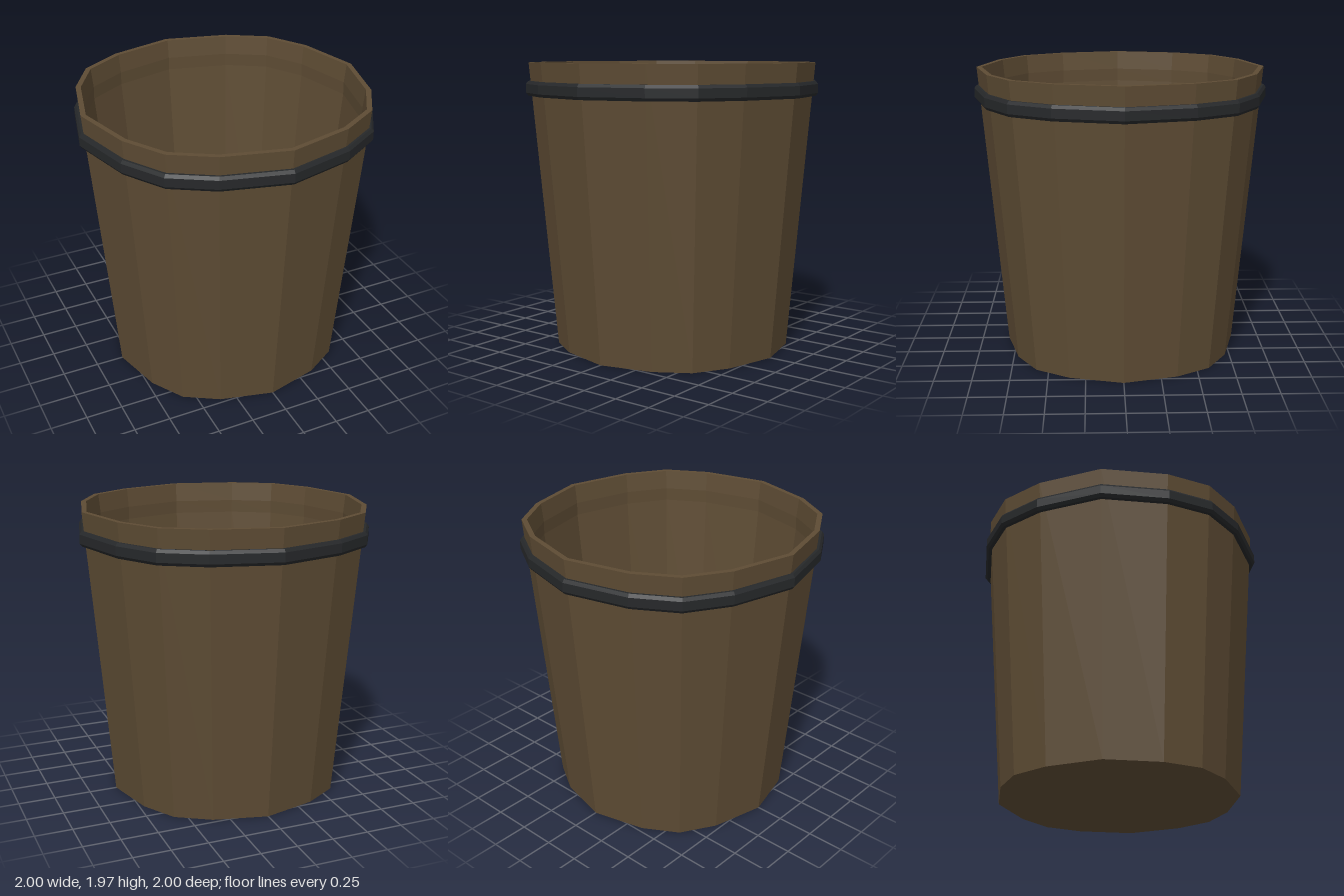
import * as THREE from 'three';

const SIDES = 16;
// Corner directions within one quadrant: the sides are of uneven width
const QUADRANT = [[0, 1], [0.443, 0.887], [0.72, 0.72], [0.887, 0.443]];

// Turn a [radius, height] profile around y, then shift its corners to the uneven outline
function turned(name, profile, color) {
  const points = profile.map(([r, y]) => new THREE.Vector2(r, y));
  const lathe = new THREE.LatheGeometry(points, SIDES);
  const pos = lathe.attributes.position;
  for (let i = 0; i < pos.count; i++) {
    const corner = Math.floor(i / points.length) % SIDES;
    const r = points[i % points.length].x;
    let [x, z] = QUADRANT[corner % 4];
    for (let q = 0; q < Math.floor(corner / 4); q++) [x, z] = [z, -x];
    pos.setXYZ(i, x * r, pos.getY(i), z * r);
  }
  const geometry = lathe.toNonIndexed();
  geometry.computeVertexNormals();
  const mesh = new THREE.Mesh(geometry, new THREE.MeshStandardMaterial({ color, flatShading: true }));
  mesh.name = name;
  return mesh;
}

export function createModel() {
  const bucket = new THREE.Group();
  bucket.name = 'bucket';

  // Tapered wall, rim, inside with a slight ridge behind the hoop, and floor
  bucket.add(turned('bucketBody', [
    [0, 0], [0.81, 0], [0.98, 1.97],
    [0.945, 1.97], [0.931, 1.84], [0.933, 1.75], [0.78, 0.04], [0, 0.04],
  ], 0x5e4c34));

  // Dark bevelled hoop below the rim
  bucket.add(turned('hoop', [
    [0.95, 1.745], [0.985, 1.745], [1, 1.765],
    [1, 1.825], [0.985, 1.845], [0.955, 1.845],
  ], 0x26282a));

  return bucket;
}
